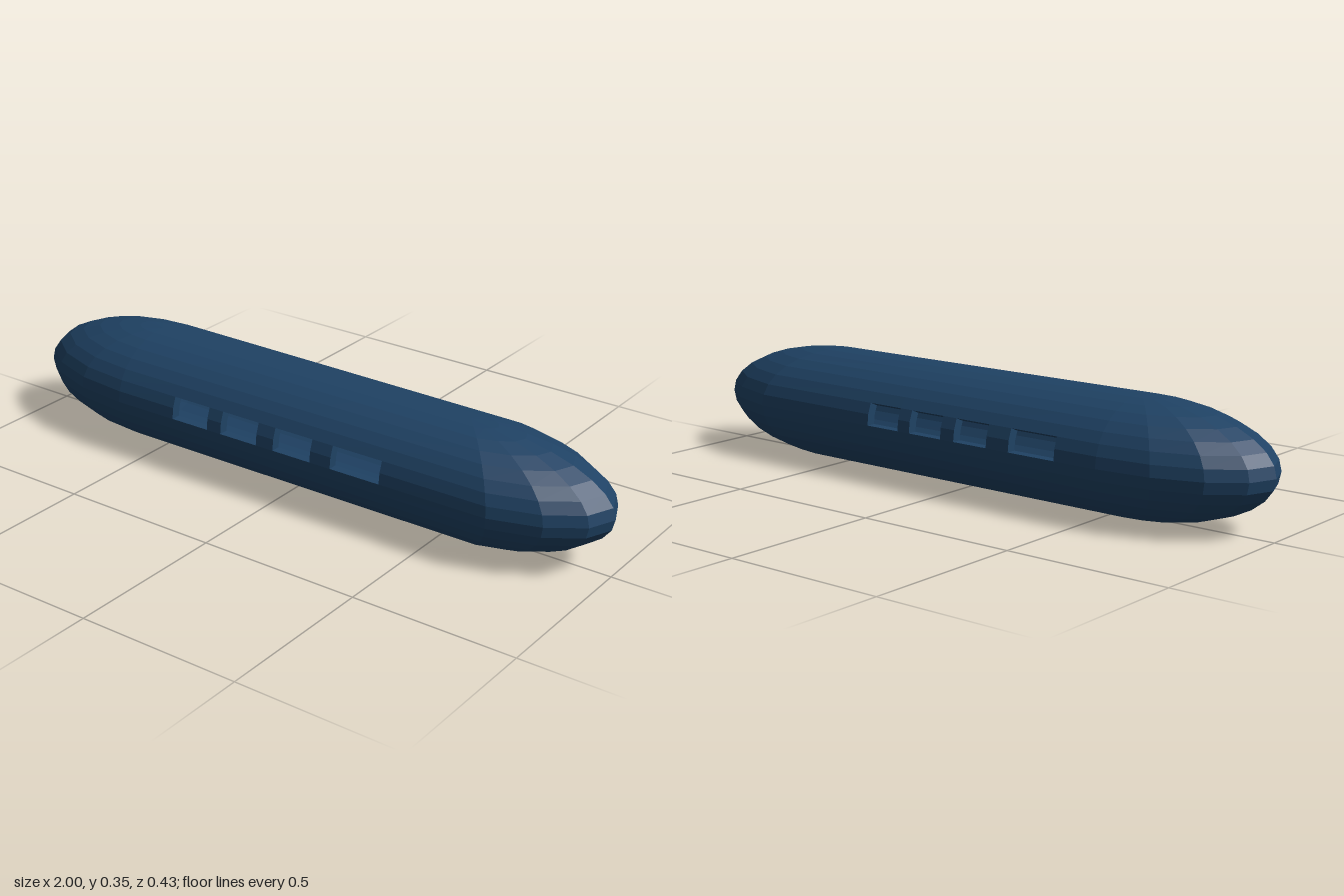
import * as THREE from 'three';

const RINGS = 16;          // latitude bands from bottom to top
const WALL = 0.03;         // shell thickness
const CENTRE_Y = 0.173;
const SILL = 8, HEAD = 10; // window rows, counted in bands

// Window openings as [xMin, xMax] on each long side
const frontWindows = [[-0.36, -0.23], [-0.18, -0.05], [0.01, 0.14], [0.21, 0.375]];
const backWindows = [[-0.43, -0.27], [-0.19, -0.07], [-0.02, 0.1], [0.145, 0.265]];

const STEP = Math.PI / 8;

// Column on a rounded end: side -1 is the left of the front view, +1 the right
function endColumn(side, k) {
  const cx = side < 0 ? -0.57 : 0.54, rx = side < 0 ? 0.43 : 0.46;
  return (c, inset) => [
    cx + side * (rx - inset) * c * Math.cos(k * STEP),
    (0.213 - inset) * c * Math.sin(k * STEP),
  ];
}

// Column at a fixed x on the long side between the ends (s = +1 front, -1 back)
function sideColumn(s, x) {
  const a = endColumn(-1, 4 * s), b = endColumn(1, 3 * s);
  return (c, inset) => {
    const [x0, z0] = a(c, inset), [x1, z1] = b(c, inset);
    return [x, z0 + (z1 - z0) * (x - x0) / (x1 - x0)];
  };
}

// Columns in order around the hull; "open" marks a window starting at that column
function buildColumns() {
  const columns = [];
  const add = (at, open = false) => columns.push({ at, open });
  for (let k = -4; k <= 4; k++) add(endColumn(-1, k));
  for (const [a, b] of frontWindows) {
    add(sideColumn(1, a), true);
    add(sideColumn(1, b));
  }
  for (let k = 3; k >= -3; k--) add(endColumn(1, k));
  for (const [a, b] of [...backWindows].reverse()) {
    add(sideColumn(-1, b), true);
    add(sideColumn(-1, a));
  }
  return columns;
}

function makeMesh(name, quads, material) {
  const positions = [];
  for (const [a, b, c, d] of quads) positions.push(...a, ...b, ...c, ...a, ...c, ...d);
  const geometry = new THREE.BufferGeometry();
  geometry.setAttribute('position', new THREE.Float32BufferAttribute(positions, 3));
  geometry.computeVertexNormals();
  const mesh = new THREE.Mesh(geometry, material);
  mesh.name = name;
  return mesh;
}

export function createModel() {
  const group = new THREE.Group();
  group.name = 'capsuleHull';
  const material = new THREE.MeshStandardMaterial({
    color: 0x1f4264, flatShading: true, side: THREE.DoubleSide,
  });

  const columns = buildColumns();
  const point = (i, j, inset) => {
    const lat = -Math.PI / 2 + Math.PI * j / RINGS;
    const [x, z] = columns[i % columns.length].at(Math.cos(lat), inset);
    return [x, CENTRE_Y + (CENTRE_Y - inset) * Math.sin(lat), z];
  };

  const outer = [], inner = [], reveals = [];
  columns.forEach((column, i) => {
    for (let j = 0; j < RINGS; j++) {
      const corners = [[i, j], [i + 1, j], [i + 1, j + 1], [i, j + 1]];
      const out = corners.map(([u, v]) => point(u, v, 0));
      const inn = corners.map(([u, v]) => point(u, v, WALL));
      if (!(column.open && j >= SILL && j < HEAD)) {
        outer.push(out);
        inner.push(inn.reverse());
        continue;
      }
      // Sill, jambs and head joining the two skins around an opening
      for (let e = 0; e < 4; e++) {
        if ((e === 0 && j !== SILL) || (e === 2 && j !== HEAD - 1)) continue;
        const n = (e + 1) % 4;
        reveals.push([out[e], out[n], inn[n], inn[e]]);
      }
    }
  });

  group.add(
    makeMesh('outerShell', outer, material),
    makeMesh('innerShell', inner, material),
    makeMesh('windowReveals', reveals, material),
  );
  return group;
}
